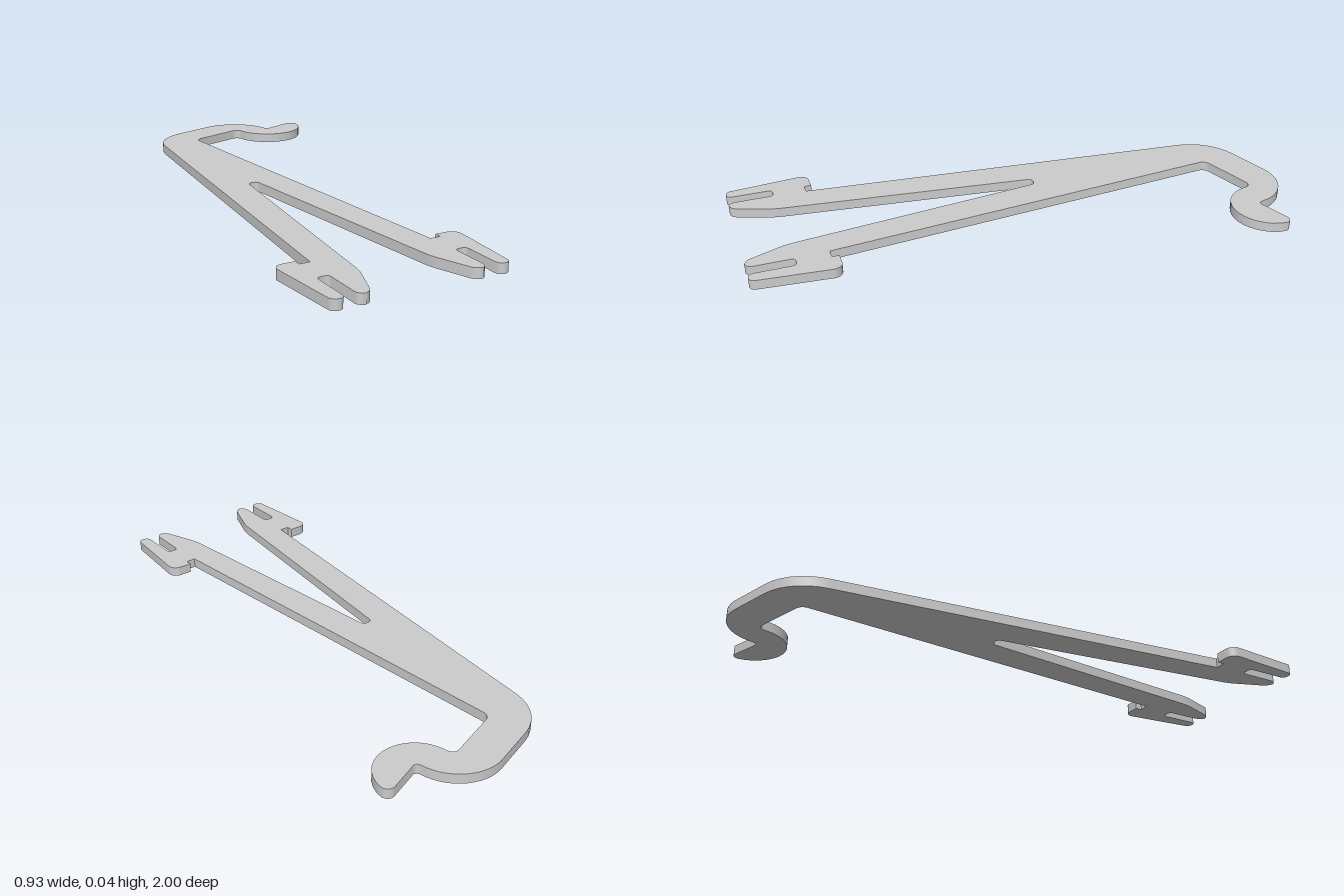
import * as THREE from 'three';
import { toCreasedNormals } from 'three/addons/utils/BufferGeometryUtils.js';

const THICKNESS = 0.036;
const AXIS_X = -0.127; // the legs mirror about this line

// Corners are [x, z, t]; t is the length cut from each edge by a circular fillet.
function roundCorners(corners, steps = 7) {
  const pts = [];
  corners.forEach(([x, z, t = 0], i) => {
    const p = new THREE.Vector2(x, z);
    if (!t) return pts.push(p);
    const n = corners.length;
    const toward = (c) => new THREE.Vector2(c[0], c[1]).sub(p).normalize();
    const a = toward(corners[(i + n - 1) % n]);
    const b = toward(corners[(i + 1) % n]);
    const w = Math.sqrt((1 - a.dot(b)) / 2);
    a.multiplyScalar(t).add(p);
    b.multiplyScalar(t).add(p);
    for (let k = 0; k <= steps; k++) {
      const s = k / steps;
      const k0 = (1 - s) ** 2, k1 = 2 * s * (1 - s) * w, k2 = s * s;
      const d = k0 + k1 + k2;
      pts.push(new THREE.Vector2(
        (k0 * a.x + k1 * p.x + k2 * b.x) / d,
        (k0 * a.y + k1 * p.y + k2 * b.y) / d
      ));
    }
  });
  return pts;
}

function arc(cx, cz, r, from, to, steps = 14) {
  return Array.from({ length: steps + 1 }, (_, i) => {
    const a = from + ((to - from) * i) / steps;
    return [cx + r * Math.cos(a), cz + r * Math.sin(a)];
  });
}

export function createModel() {
  // One forked foot, outer side to crotch, as distance from the leg axis
  const leg = [
    [0.22, 0.713],
    [0.257, 0.713],
    [0.257, 0.687],
    [0.339, 0.687, 0.036],
    [0.312, 1.0, 0.02],
    [0.268, 1.0, 0.02],
    [0.268, 0.833, 0.014],
    [0.226, 0.833, 0.014],
    [0.226, 1.0, 0.026],
    [0.184, 1.0, 0.026],
    [0.127, 0.845, 0.03],
    [0.019, -0.115, 0.016],
  ];
  const rightLeg = leg.map(([u, z, t]) => [AXIS_X + u, z, t]);
  const leftLeg = leg.map(([u, z, t]) => [AXIS_X - u, z, t]).reverse();

  // Bent neck and curled hook at the far end
  const head = [
    [-0.197, -0.903, 0.13],
    ...arc(0.135, -0.833, 0.167, -1.93, -0.162),
    [0.308, -0.842, 0.012],
    [0.467, -0.9, 0.04],
    ...arc(0.325, -0.872, 0.139, 0.245, 2.94),
    [0.18, -0.883, 0.025],
    [-0.049, -0.808, 0.025],
  ];

  const outline = roundCorners([...leftLeg, ...head, ...rightLeg]);
  const shape = new THREE.Shape(outline.map((p) => new THREE.Vector2(p.x, -p.y)));

  // Flat plate lying on the ground
  const geometry = new THREE.ExtrudeGeometry(shape, { depth: THICKNESS, bevelEnabled: false });
  geometry.rotateX(-Math.PI / 2);
  const plate = new THREE.Mesh(
    toCreasedNormals(geometry, 0.5),
    new THREE.MeshStandardMaterial({ color: 0xcccccc })
  );
  plate.name = 'forkedHookPlate';

  const group = new THREE.Group();
  group.name = 'forkedHook';
  group.add(plate);
  return group;
}
